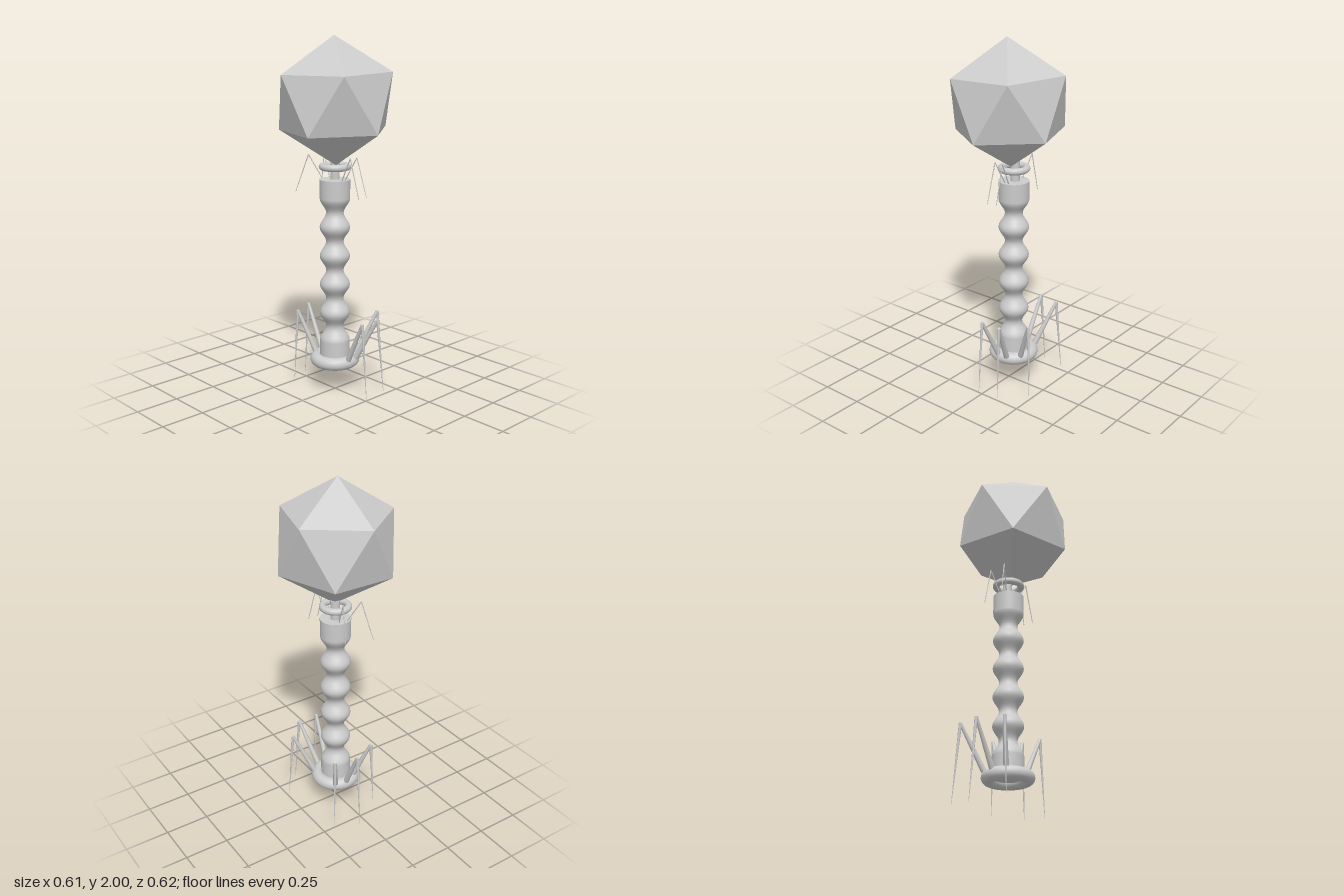
import * as THREE from 'three';
import { ConvexGeometry } from 'three/addons/geometries/ConvexGeometry.js';

const V = (x, y, z) => new THREE.Vector3(x, y, z);
const AXIS_X = 0.018, AXIS_Z = -0.02;

export function createModel() {
  const model = new THREE.Group();
  const smooth = new THREE.MeshStandardMaterial({ color: 0xcccccc });
  const faceted = new THREE.MeshStandardMaterial({ color: 0xcccccc, flatShading: true });

  const add = (name, geometry, material = smooth, parent = model) => {
    const mesh = new THREE.Mesh(geometry, material);
    mesh.name = name;
    parent.add(mesh);
    return mesh;
  };

  // Tapered rod between two points
  const rod = (name, a, b, ra, rb, parent, sides = 10) => {
    const mesh = add(name, new THREE.CylinderGeometry(rb, ra, a.distanceTo(b), sides), smooth, parent);
    mesh.position.copy(a).lerp(b, 0.5);
    mesh.quaternion.setFromUnitVectors(V(0, 1, 0), b.clone().sub(a).normalize());
  };

  // Horizontal ring around the stem axis
  const ring = (name, y, radius, tube) => {
    const mesh = add(name, new THREE.TorusGeometry(radius, tube, 20, 48).rotateX(Math.PI / 2));
    mesh.position.set(AXIS_X, y, AXIS_Z);
  };

  // Icosahedral head, one corner up, tilted slightly
  const R = 0.35, corners = [V(0, R, 0), V(0, -R, 0)];
  for (let i = 0; i < 5; i++) {
    const a = -Math.PI / 2 - 0.03 + i * Math.PI * 0.4;
    const p = V(Math.cos(a) * R * 0.894, R * 0.447, Math.sin(a) * R * 0.894);
    corners.push(p, p.clone().negate());
  }
  const head = add('head', new ConvexGeometry(corners), faceted);
  head.position.set(0, 1.65, 0);
  head.rotation.set(0.01, 0, 0.03);

  // Neck and collar
  rod('neck', V(0.023, 1.2, -0.024), V(0.023, 1.33, -0.024), 0.026, 0.026, model, 24);
  ring('collar', 1.29, 0.07, 0.019);

  // Rippled sheath with straight ends and flat caps
  const lo = 0.29, hi = 1.115, pitch = 0.165, big = 0.085, small = 0.049;
  const wave = [];
  for (let i = 0; i <= 60; i++) {
    const y = lo + (hi - lo) * i / 60;
    const k = 0.5 + 0.5 * Math.cos((y - lo) / pitch * Math.PI * 2);
    wave.push(new THREE.Vector2(small + (big - small) * k, y));
  }
  const profile = [new THREE.Vector2(big, 0.17), ...wave, new THREE.Vector2(big, 1.22)];
  const sheath = add('sheath', new THREE.LatheGeometry(profile, 40));
  sheath.position.set(AXIS_X, 0, AXIS_Z);
  for (const [name, y, turn] of [['sheathTop', 1.22, -1], ['sheathBottom', 0.17, 1]]) {
    const cap = add(name, new THREE.CircleGeometry(big, 40).rotateX(turn * Math.PI / 2));
    cap.position.set(AXIS_X, y, AXIS_Z);
  }

  // Base plate ring
  ring('basePlate', 0.177, 0.105, 0.036);

  // Bent limb: root -> raised knee -> pointed foot
  const limb = (name, root, knee, foot, r0, r1, r2, sides) => {
    const group = new THREE.Group();
    group.name = name;
    model.add(group);
    rod(name + 'Upper', root, knee, r0, r1, group, sides);
    rod(name + 'Lower', knee, foot, r1, r2, group, sides);
  };

  // Root lies part of the way from the axis to the knee
  const rootOf = (kx, kz, t, y) =>
    V(AXIS_X + (kx - AXIS_X) * t, y, AXIS_Z + (kz - AXIS_Z) * t);

  // Six legs: knee x, z and foot x, y, z
  const legs = [
    [-0.01, 0.23, -0.01, 0.02, 0.265],
    [0.11, 0.23, 0.125, 0.03, 0.265],
    [0.225, 0.115, 0.25, 0.03, 0.135],
    [0.165, -0.235, 0.19, 0.02, -0.26],
    [0.035, -0.265, 0.04, 0, -0.305],
    [-0.1, -0.205, -0.12, 0.035, -0.215],
  ];
  for (const [kx, kz, fx, fy, fz] of legs)
    limb('leg', rootOf(kx, kz, 0.5, 0.2), V(kx, 0.445, kz), V(fx, fy, fz), 0.016, 0.009, 0.001, 10);

  // Fine whiskers around the collar: knee x, z and foot x, z
  const whiskers = [
    [0.0, 0.12, 0.0, 0.185],
    [0.05, 0.12, 0.06, 0.185],
    [0.05, -0.14, 0.06, -0.18],
    [-0.055, -0.155, -0.09, -0.225],
  ];
  for (const [kx, kz, fx, fz] of whiskers)
    limb('whisker', rootOf(kx, kz, 0.45, 1.215), V(kx, 1.352, kz), V(fx, 1.138, fz), 0.003, 0.003, 0.002, 6);

  return model;
}
